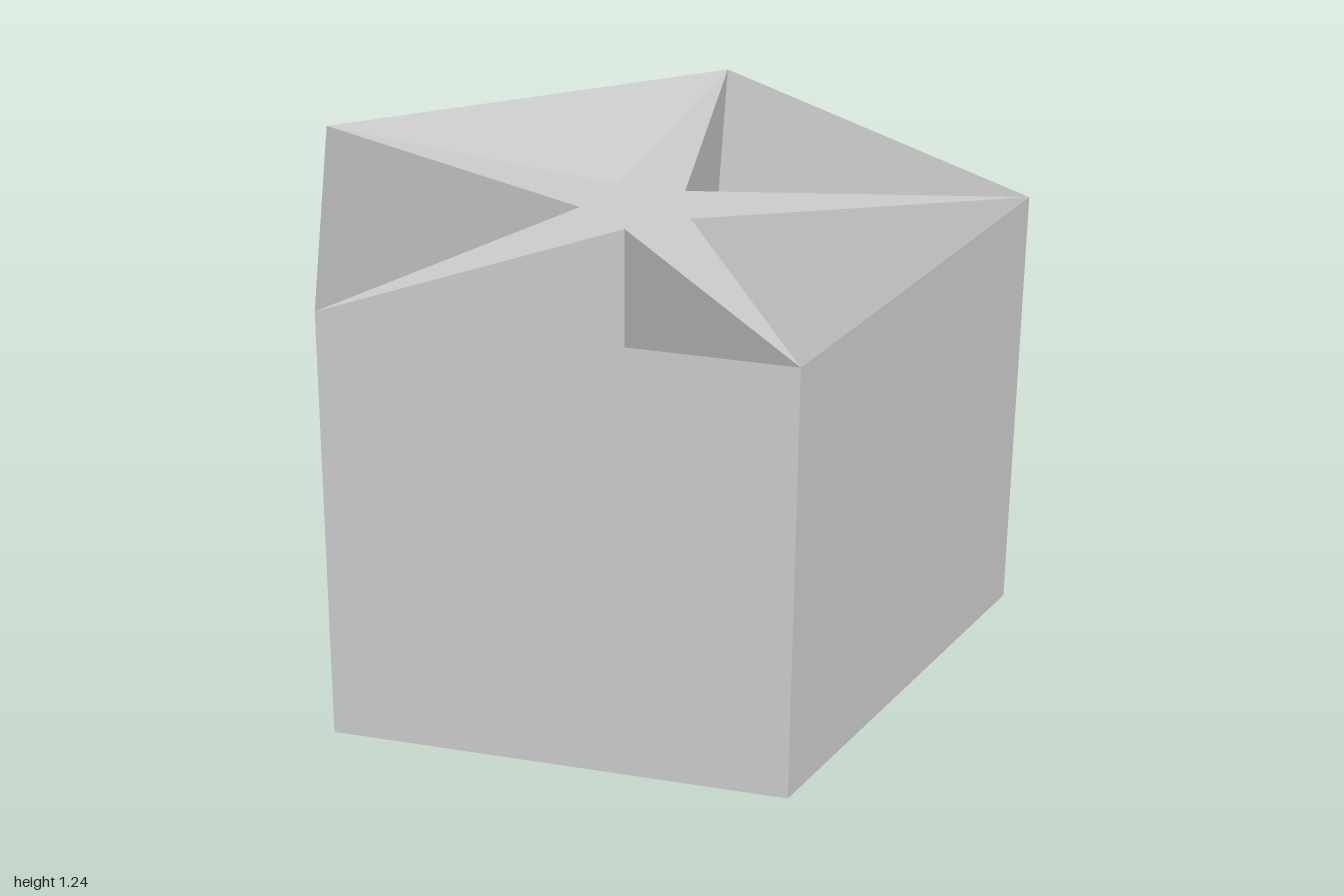
import * as THREE from 'three';

const SIDES = 5;
const HEIGHT = 1.24;
const OUTER = 1 / Math.sin(Math.PI * 0.4); // corner radius, giving a width of 2
const RIDGE = 0.73; // radius of the inner ridge at mid height
const NOTCH = 0.16; // radius of the star's inner corners

export function createModel() {
  const grey = new THREE.MeshStandardMaterial({ color: 0xcccccc });
  grey.name = 'grey';

  const model = new THREE.Group();
  model.name = 'pentagonStarPrism';

  const add = (name, geometry) => {
    const flat = geometry.index ? geometry.toNonIndexed() : geometry;
    flat.computeVertexNormals();
    const mesh = new THREE.Mesh(flat, grey);
    mesh.name = name;
    // the axis sits right of the middle, as one corner points to -x
    mesh.position.x = (OUTER - OUTER * Math.cos(Math.PI / SIDES)) / 2;
    model.add(mesh);
  };

  // five-sided ring with upright outer walls and slopes meeting in an inner ridge
  const profile = [
    [OUTER, 0],
    [OUTER, HEIGHT],
    [RIDGE, HEIGHT / 2],
    [OUTER, 0],
  ].map(([r, y]) => new THREE.Vector2(r, y));
  add('pentagonRing', new THREE.LatheGeometry(profile, SIDES, -Math.PI / 2));

  // upright star whose tips reach the ring's corners
  const corners = [];
  for (let i = 0; i < SIDES * 2; i++) {
    const a = Math.PI + (i * Math.PI) / SIDES;
    const r = i % 2 ? NOTCH : OUTER;
    corners.push(new THREE.Vector2(r * Math.cos(a), r * Math.sin(a)));
  }
  const star = new THREE.ExtrudeGeometry(new THREE.Shape(corners), {
    depth: HEIGHT,
    bevelEnabled: false,
  });
  star.rotateX(-Math.PI / 2);
  add('starCore', star);

  return model;
}
